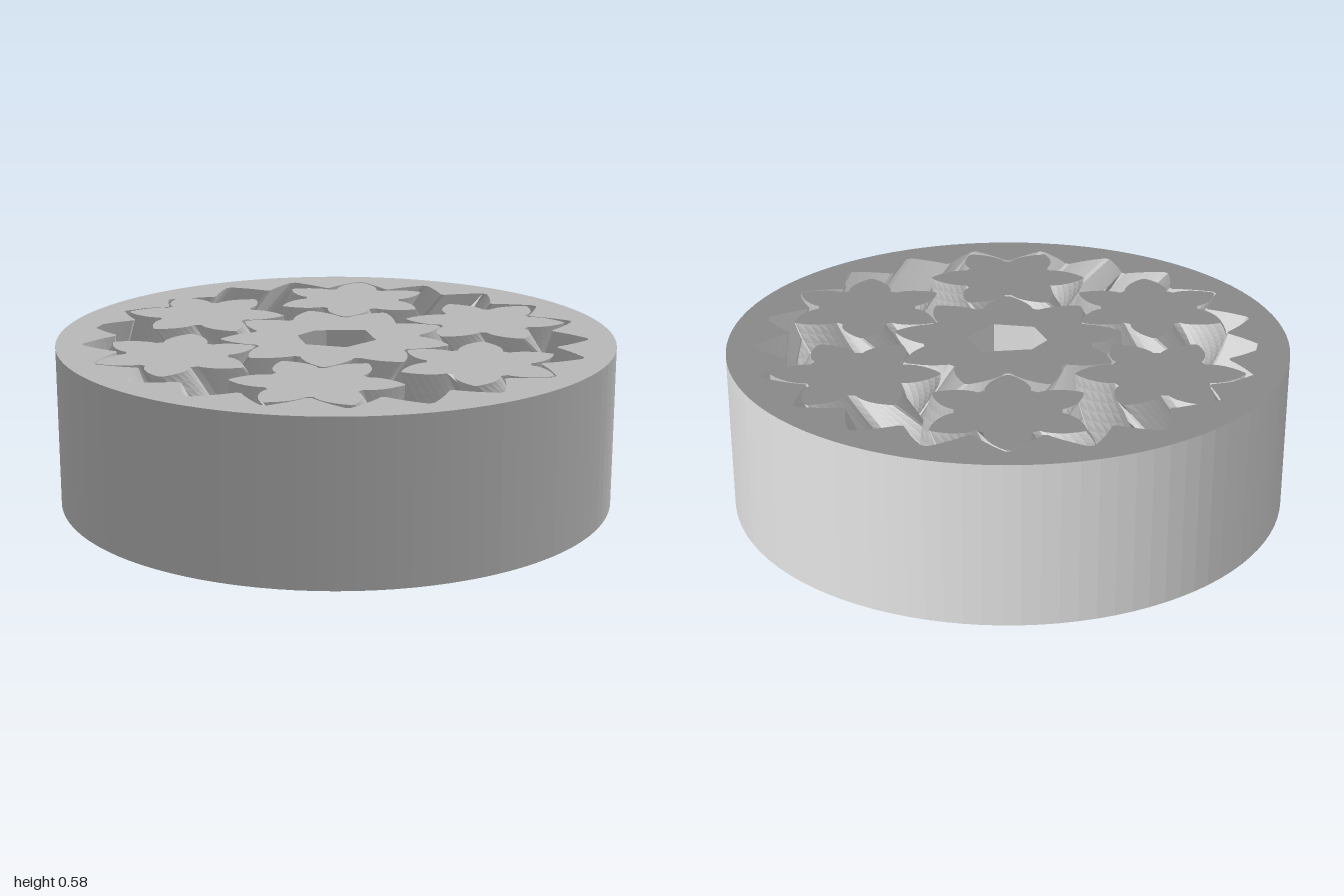
import * as THREE from 'three';

const HEIGHT = 0.58;
const PITCH = 0.2534;      // tooth spacing along the pitch circle
const DEPTH = 0.0532;      // tooth height above and below the pitch circle
const PRESSURE = Math.PI / 4;
const GAP = 0.0058;        // clearance between meshing teeth
const TAU = Math.PI * 2;

const material = new THREE.MeshStandardMaterial({ color: 0xcccccc });
const involute = (a) => Math.tan(a) - a;
const polar = (r, a) => new THREE.Vector2(r * Math.cos(a), r * Math.sin(a));

// Outline of an involute gear with nearly pointed teeth, first tooth at angle 0
function gearOutline(teeth, gap) {
  const pitchR = (teeth * PITCH) / TAU;
  const baseR = pitchR * Math.cos(PRESSURE);
  const rootR = (pitchR - DEPTH - gap / 2) * Math.cos(Math.PI / 2 / teeth);
  const tipR = pitchR + DEPTH - gap / 2;
  const half = Math.PI / 2 / teeth - gap / baseR / 2;
  const facets = 6, flank = [];
  for (let i = 0; i <= facets; i++) {
    const r = rootR + ((tipR - rootR) * i) / facets;
    const spread = half + involute(PRESSURE) - involute(Math.acos(baseR / r));
    flank.push([r, Math.max(spread, 0.0005)]);
  }
  const points = [];
  for (let t = 0; t < teeth; t++) {
    const centre = (t * TAU) / teeth;
    for (const [r, a] of flank) points.push(polar(r, centre - a));
    for (const [r, a] of [...flank].reverse()) points.push(polar(r, centre + a));
  }
  return points;
}

function polygon(sides, r) {
  return Array.from({ length: sides }, (_, i) => polar(r, (i * TAU) / sides));
}

// Extrude a shape and twist it by one tooth towards mid height and back;
// only points between minR and maxR turn, so bores and rims stay straight.
// The gear is then turned on its axis and moved out along an angle.
function herringbone(name, shape, { teeth, hand, slices, minR = 0, maxR = 1, turn = 0, orbit = 0, angle = 0 }) {
  const geometry = new THREE.ExtrudeGeometry(shape, {
    depth: HEIGHT, steps: slices * 2, bevelEnabled: false,
  });
  const pos = geometry.attributes.position;
  for (let i = 0; i < pos.count; i++) {
    const x = pos.getX(i), y = pos.getY(i), z = pos.getZ(i);
    const r = Math.hypot(x, y);
    if (r < minR || r > maxR) continue;
    const a = -hand * (TAU / teeth) * Math.abs((2 * z) / HEIGHT - 1);
    const c = Math.cos(a), s = Math.sin(a);
    pos.setXY(i, x * c - y * s, x * s + y * c);
  }
  geometry.rotateZ(turn);
  geometry.translate(orbit * Math.cos(angle), orbit * Math.sin(angle), 0);
  geometry.computeVertexNormals();
  // lay the axis upright; the shading normals keep the extrusion frame
  const shading = geometry.attributes.normal.clone();
  geometry.rotateX(-Math.PI / 2);
  geometry.setAttribute('normal', shading);
  const mesh = new THREE.Mesh(geometry, material);
  mesh.name = name;
  return mesh;
}

export function createModel() {
  const model = new THREE.Group();
  model.name = 'planetaryGearBearing';

  // Outer ring with internal teeth
  const ringShape = new THREE.Shape(polygon(100, 1));
  ringShape.holes.push(new THREE.Path(gearOutline(21, -GAP)));
  model.add(herringbone('ringGear', ringShape, { teeth: 21, hand: 1, slices: 4, maxR: 0.95 }));

  // Central gear with a hexagonal bore
  const sunShape = new THREE.Shape(gearOutline(9, GAP));
  sunShape.holes.push(new THREE.Path(polygon(6, 0.149)));
  model.add(herringbone('sunGear', sunShape, { teeth: 9, hand: -1, slices: 7, minR: 0.2, turn: Math.PI / 9 }));

  // Six planet gears, each turned to mesh with the sun and ring
  const planetShape = new THREE.Shape(gearOutline(6, GAP));
  for (let i = 0; i < 6; i++) {
    const angle = (i * TAU) / 6;
    model.add(herringbone(`planetGear${i + 1}`, planetShape, {
      teeth: 6, hand: 1, slices: 10, turn: angle * 2.5, orbit: (15 * PITCH) / TAU, angle,
    }));
  }
  return model;
}
